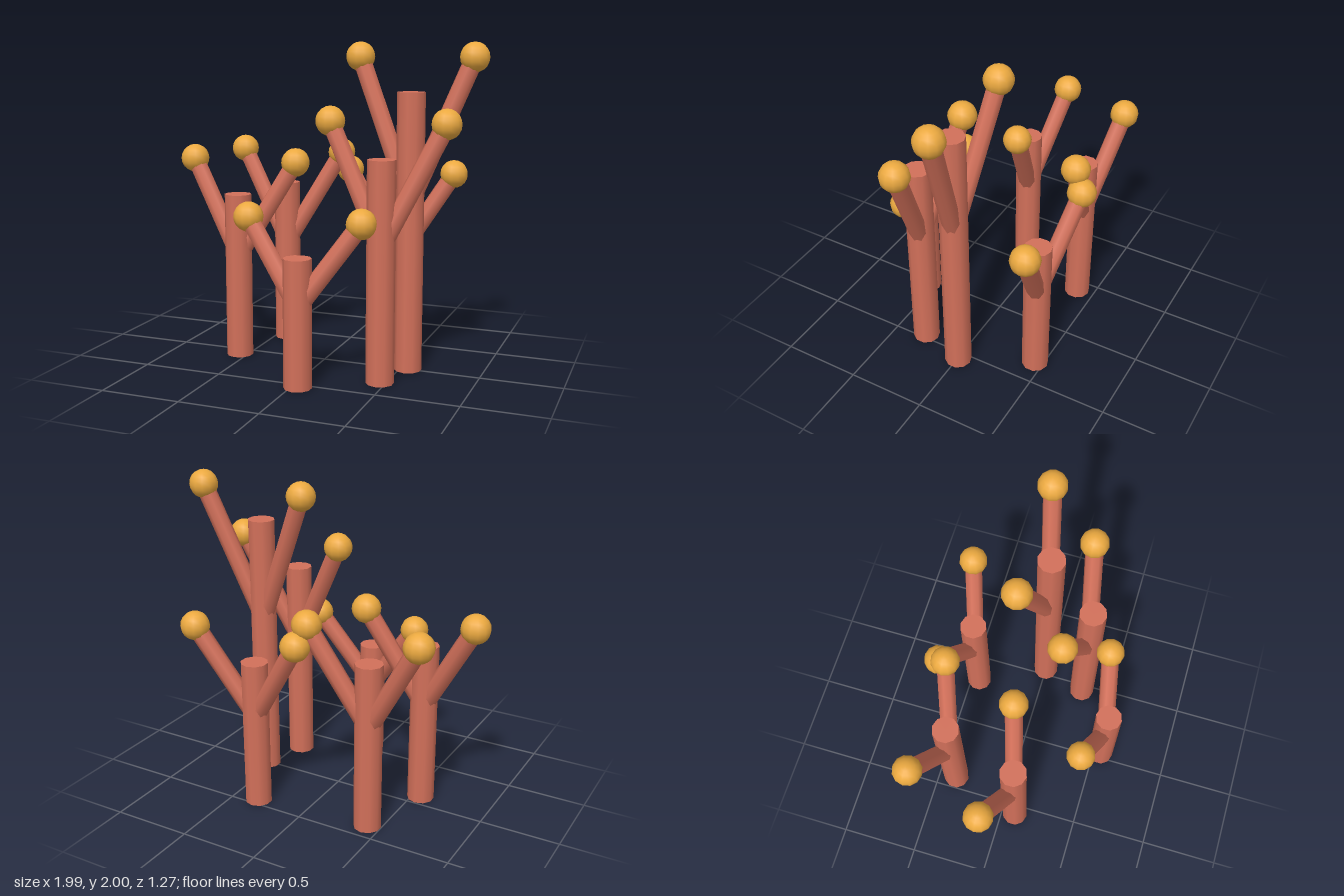
import * as THREE from 'three';

const coralMaterial = new THREE.MeshStandardMaterial({ color: 0xd2705a });
const tipMaterial = new THREE.MeshStandardMaterial({ color: 0xeba940 });

const TRUNK_RADIUS = 0.085;
const BRANCH_RADIUS = 0.057;
const TIP_RADIUS = 0.09;

function addMesh(parent, name, geometry, material, position) {
  const mesh = new THREE.Mesh(geometry, material);
  mesh.name = name;
  mesh.position.copy(position);
  parent.add(mesh);
  return mesh;
}

// Cylinder running from one point to another
function addBranch(parent, name, from, to) {
  const direction = to.clone().sub(from);
  const geometry = new THREE.CylinderGeometry(BRANCH_RADIUS, BRANCH_RADIUS, direction.length(), 8);
  const middle = from.clone().add(to).multiplyScalar(0.5);
  const branch = addMesh(parent, name, geometry, coralMaterial, middle);
  branch.quaternion.setFromUnitVectors(new THREE.Vector3(0, 1, 0), direction.normalize());
}

// One stalk: a trunk with a mirrored pair of ball-tipped branches leaning back
function createStalk(height) {
  const stalk = new THREE.Group();
  stalk.name = 'coralStalk';
  addMesh(stalk, 'trunk',
    new THREE.CylinderGeometry(TRUNK_RADIUS, TRUNK_RADIUS, height, 10),
    coralMaterial, new THREE.Vector3(0, height / 2, 0));

  const fork = new THREE.Vector3(0, 0.6 * height + 0.02, 0);
  for (const [side, label] of [[1, 'left'], [-1, 'right']]) {
    const tip = new THREE.Vector3(side * 0.353, height + 0.204, -0.1);
    addBranch(stalk, label + 'Branch', fork, tip);
    addMesh(stalk, label + 'Tip', new THREE.SphereGeometry(TIP_RADIUS, 12, 10), tipMaterial, tip);
  }
  return stalk;
}

export function createModel() {
  const model = new THREE.Group();
  model.name = 'coralCluster';

  // x, z and trunk height of each stalk
  const stalks = [
    [-0.553, 0.09, 1.05],
    [-0.415, -0.38, 1.073],
    [0.042, 0.548, 0.776],
    [0.332, -0.445, 0.953],
    [0.463, 0.293, 1.335],
    [0.549, -0.003, 1.708],
  ];
  for (const [x, z, height] of stalks) {
    const stalk = createStalk(height);
    stalk.position.set(x, 0, z);
    model.add(stalk);
  }
  return model;
}
